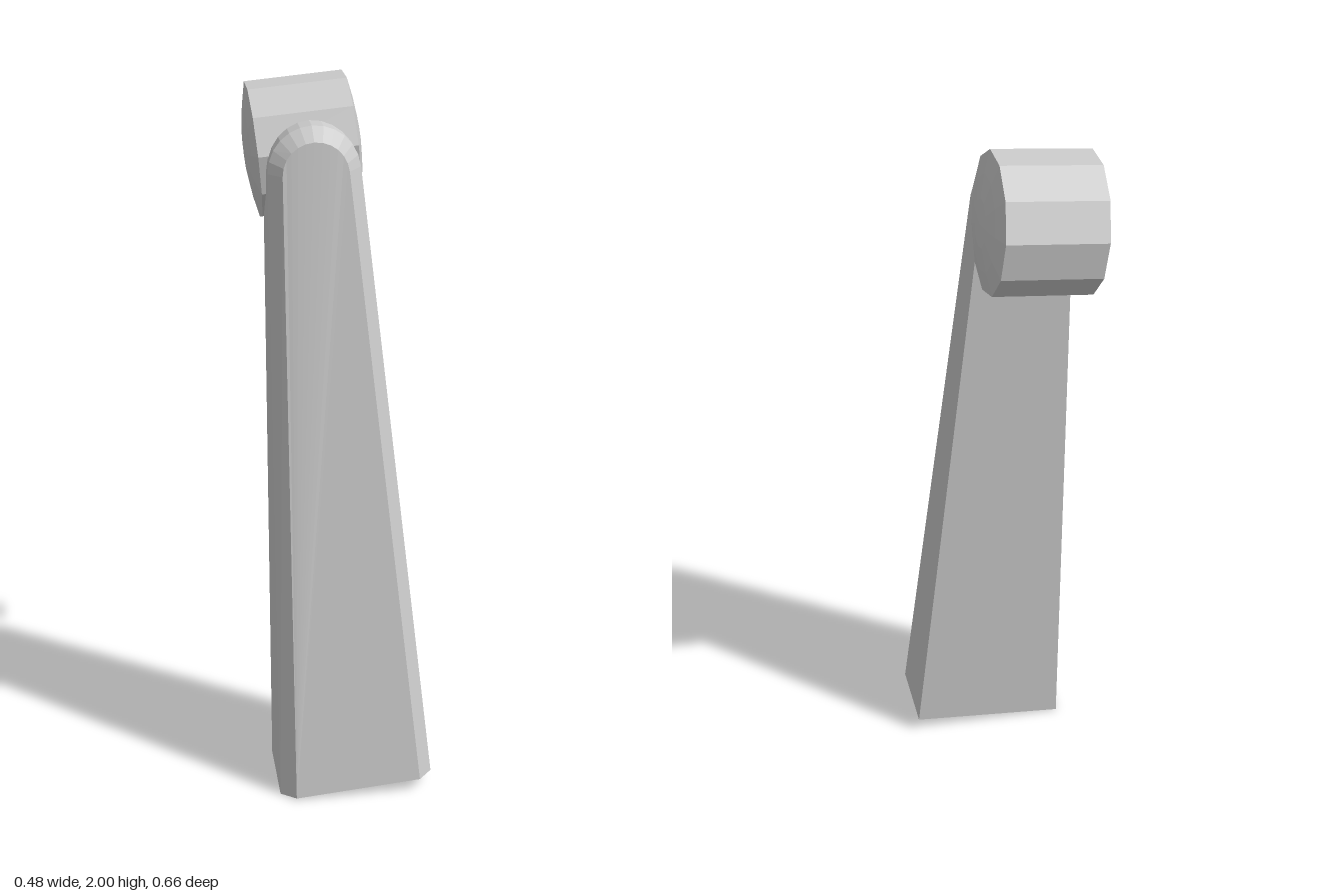
import * as THREE from 'three';

const material = new THREE.MeshStandardMaterial({ color: 0xcccccc, flatShading: true });
const TILT = 0.092;

// Arched outline, counter-clockwise; each point's depth follows its height
function archLoop([x0, y0], [x1, y1], radius, depth) {
  const points = [[x0, y0], [x1, y1]];
  const steps = 12;
  for (let i = 0; i <= steps; i++) {
    const a = 0.1 + (Math.PI - 0.1) * i / steps;
    points.push([-0.07 + radius * Math.cos(a), 1.785 + radius * Math.sin(a)]);
  }
  return points.map(([x, y]) => [x, y, depth(y)]);
}

// Joins loops from front to back and closes both ends
function loft(loops) {
  const n = loops[0].length;
  const index = [];
  for (let k = 0; k < loops.length - 1; k++) {
    for (let i = 0; i < n; i++) {
      const j = (i + 1) % n;
      const a0 = k * n + i, a1 = k * n + j, b0 = a0 + n, b1 = a1 + n;
      index.push(a0, b0, b1, a0, b1, a1);
    }
  }
  const back = (loops.length - 1) * n;
  for (let i = 1; i < n - 1; i++) {
    index.push(0, i, i + 1, back, back + i + 1, back + i);
  }
  const geometry = new THREE.BufferGeometry();
  geometry.setAttribute('position', new THREE.Float32BufferAttribute(loops.flat(2), 3));
  geometry.setIndex(index);
  const flat = geometry.toNonIndexed();
  flat.computeVertexNormals();
  return flat;
}

export function createModel() {
  const group = new THREE.Group();

  // Tapered leaning arm with a bevelled front and rounded top
  const left = [-0.203, 0], right = [0.238, 0.041];
  const arm = new THREE.Mesh(loft([
    archLoop([-0.16, 0.004], [0.2, 0.037], 0.09, y => Math.max(0.112, 0.33 - 0.119 * y)),
    archLoop(left, right, 0.126, y => Math.max(0.07, 0.291 - 0.119 * y)),
    archLoop(left, right, 0.126, y => 0.056 - 0.057 * y),
  ]), material);
  arm.name = 'arm';
  group.add(arm);

  // Eleven-sided cross drum with shallow domed ends, one corner pointing down
  const half = 0.136;
  const dome = [[0, 0.025], [0.065, 0.022], [0.13, 0.013], [0.19, 0]];
  const profile = [
    ...dome.map(([r, h]) => new THREE.Vector2(r, -half - h)),
    ...dome.map(([r, h]) => new THREE.Vector2(r, half + h)).reverse(),
  ];
  const drumGeometry = new THREE.LatheGeometry(profile, 11, Math.PI / 2);
  drumGeometry.rotateZ(-Math.PI / 2);
  const drum = new THREE.Mesh(drumGeometry, material);
  drum.name = 'drum';
  drum.position.set(-0.079, 1.807, -0.145);
  drum.rotation.z = TILT;
  group.add(drum);

  return group;
}
